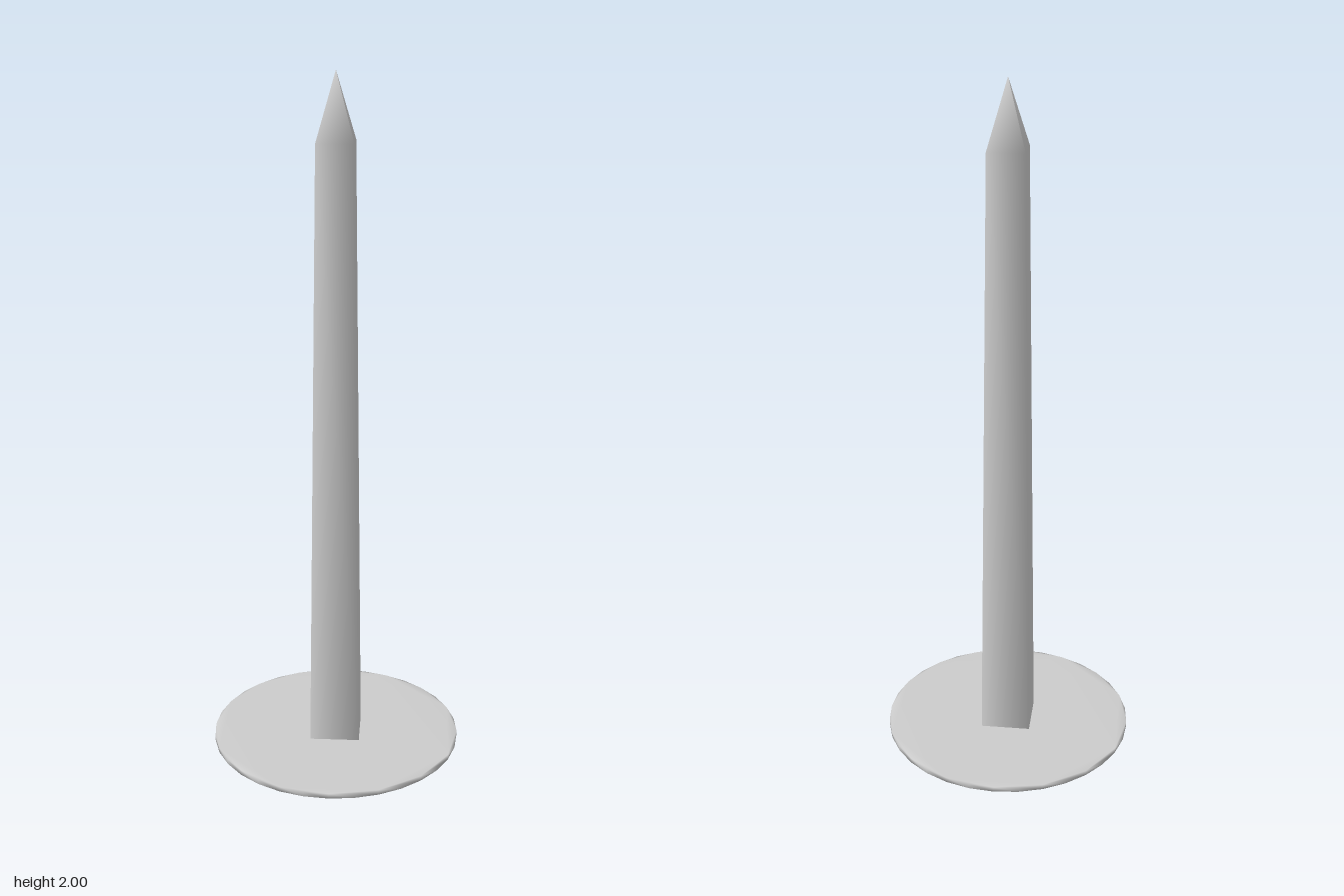
import * as THREE from 'three';
import { mergeVertices } from 'three/addons/utils/BufferGeometryUtils.js';

export function createModel() {
  const model = new THREE.Group();
  const material = new THREE.MeshStandardMaterial({ color: 0xcccccc });
  const add = (name, geometry) => {
    const mesh = new THREE.Mesh(geometry, material);
    mesh.name = name;
    model.add(mesh);
  };

  // Thin 32-sided base plate, normals shared between faces and rim
  const radius = 0.373, thickness = 0.015;
  const outline = Array.from({ length: 32 }, (_, i) => {
    const a = (i / 32) * Math.PI * 2;
    return new THREE.Vector2(Math.cos(a) * radius, Math.sin(a) * radius);
  });
  let plate = new THREE.ExtrudeGeometry(new THREE.Shape(outline), {
    depth: thickness, bevelEnabled: false,
  });
  plate.rotateX(-Math.PI / 2);
  plate.deleteAttribute('normal');
  plate.deleteAttribute('uv');
  plate = mergeVertices(plate);
  plate.computeVertexNormals();
  add('basePlate', plate);

  // Square tapering shaft and pyramid tip, smooth shaded
  const corner = Math.SQRT2; // half width to corner radius
  const profile = [[0.074, thickness], [0.053, 1.81], [0, 2]]
    .map(([half, y]) => new THREE.Vector2(half * corner, y));
  add('obelisk', new THREE.LatheGeometry(profile, 4, Math.PI / 4));

  return model;
}
